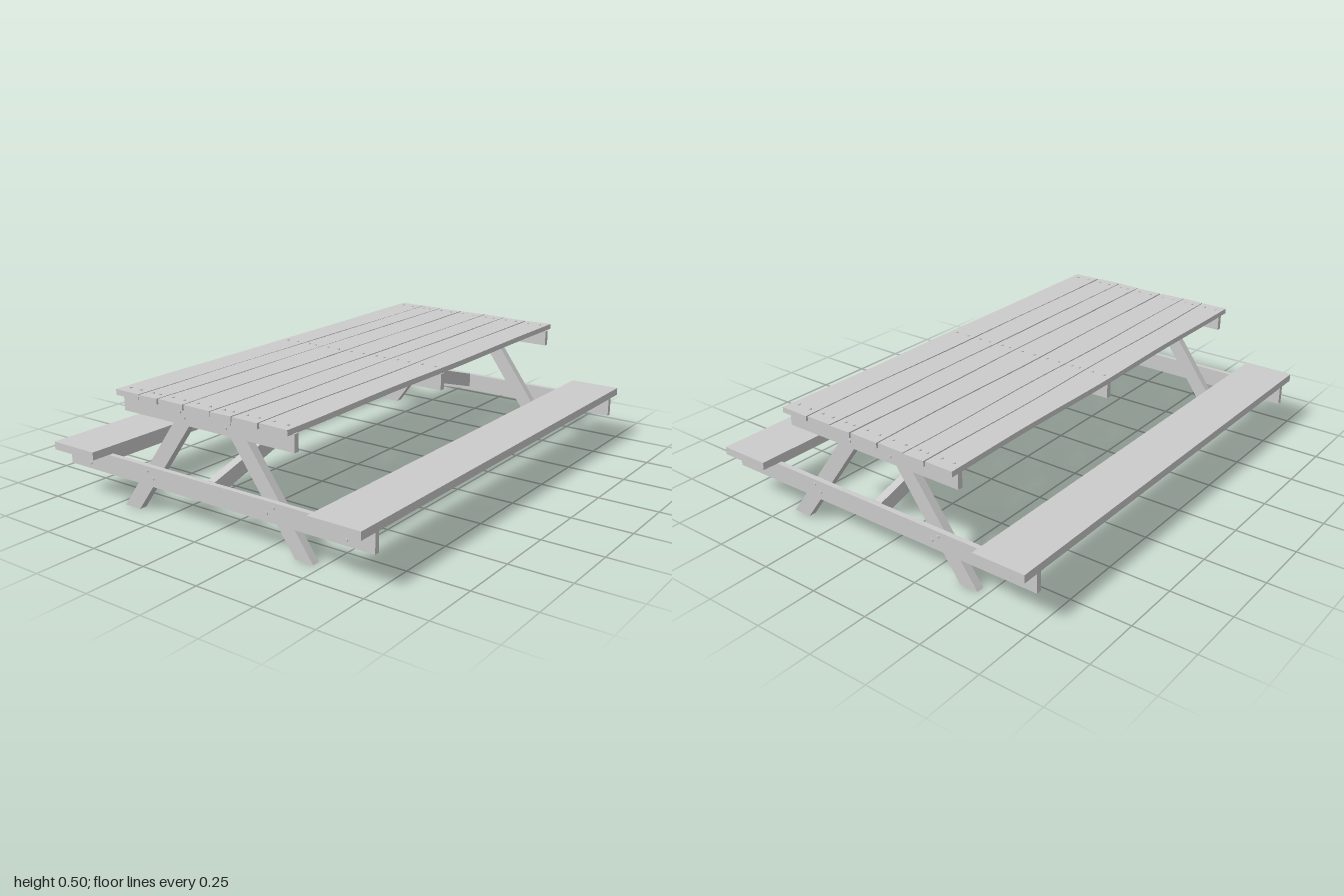
import * as THREE from 'three';

const material = new THREE.MeshStandardMaterial({ color: 0xcccccc });

export function createModel() {
  const model = new THREE.Group();

  function add(name, geometry) {
    const mesh = new THREE.Mesh(geometry, material);
    mesh.name = name;
    model.add(mesh);
    return mesh;
  }

  // Box given by its limits along each axis
  function beam(name, x0, x1, y0, y1, z0, z1) {
    const geometry = new THREE.BoxGeometry(x1 - x0, y1 - y0, z1 - z0);
    geometry.translate((x0 + x1) / 2, (y0 + y1) / 2, (z0 + z1) / 2);
    return add(name, geometry);
  }

  // Flat outline given depth, centred on its own plane
  function slab(points, depth) {
    const shape = new THREE.Shape(points.map(([a, b]) => new THREE.Vector2(a, b)));
    const geometry = new THREE.ExtrudeGeometry(shape, { depth, bevelEnabled: false });
    return geometry.translate(0, 0, -depth / 2);
  }

  // Small round screw head; end = true turns it to face along z
  const screwGeometry = new THREE.CylinderGeometry(0.006, 0.007, 0.006, 8);
  function screw(x, y, z, end = false) {
    const mesh = add('screw', screwGeometry);
    mesh.position.set(x, y, z);
    if (end) mesh.rotation.x = Math.PI / 2 * Math.sign(z);
  }

  // Tabletop planks with slightly wavy long edges
  const planks = [
    [-0.415, -0.3], [-0.295, -0.2], [-0.195, -0.077], [-0.071, 0.05],
    [0.056, 0.157], [0.163, 0.275], [0.281, 0.403],
  ];
  const barZ = [0.91, -0.01, -0.92];
  planks.forEach(([x0, x1], i) => {
    const z0 = -0.97 - 0.003 * Math.sin(i * 2.1);
    const z1 = 0.953 + 0.003 * Math.sin(i * 1.7);
    const geometry = new THREE.BoxGeometry(x1 - x0, 0.022, z1 - z0, 1, 1, 24);
    geometry.translate((x0 + x1) / 2, 0.48, (z0 + z1) / 2);
    const p = geometry.attributes.position;
    for (let k = 0; k < p.count; k++) {
      const z = p.getZ(k);
      const side = p.getX(k) > (x0 + x1) / 2 ? 1 : -1;
      p.setX(k, p.getX(k) + 0.002 * Math.sin(z * 7 + i * 2.3 + side));
      p.setY(k, p.getY(k) + 0.001 * Math.sin(z * 5 + i * 1.9 + side * 1.3));
    }
    geometry.computeVertexNormals();
    add('tabletopPlank', geometry);

    // Two screws into each bar below
    for (const z of barZ) {
      screw(x0 + 0.03, 0.492, z);
      screw(x1 - 0.03, 0.492, z);
    }
  });

  // Bar under the middle of the tabletop
  beam('middleTopBar', -0.41, 0.41, 0.402, 0.469, -0.022, 0.002);

  // End frames: top bar, bench bar, two splayed legs and a long brace
  for (const s of [1, -1]) {
    const inner = s > 0 ? 0.9 : -0.91;
    const outer = inner + s * 0.022;
    const zMin = Math.min(inner, outer);
    const zMax = Math.max(inner, outer);
    beam('endTopBar', -0.41, 0.41, 0.402, 0.469, zMin, zMax);
    beam('benchBar', -0.74, 0.74, 0.122, 0.2, zMin, zMax);

    for (const m of [1, -1]) {
      const outline = [[0.386, 0], [0.465, 0], [0.122, 0.469], [0.043, 0.469]];
      const leg = slab(outline.map(([x, y]) => [x * m, y]), 0.033);
      add('leg', leg.translate(0, 0, inner - s * 0.0165));

      // Screws holding the legs and seat rails to the bars
      for (const [x, y] of [[0.28, 0.155], [0.31, 0.18], [0.1, 0.43], [0.12, 0.45],
        [0.625, 0.145], [0.625, 0.18]]) {
        screw(x * m, y, outer + s * 0.001, true);
      }
    }

    // Sloping brace from the middle bar down to the bench bar
    const brace = slab([
      [-0.01, 0.467], [inner, 0.202], [inner, 0.138], [-0.01, 0.404],
    ], 0.035);
    brace.rotateY(-Math.PI / 2);
    add('brace', brace);
  }

  // Benches with a stiffening rail beneath
  for (const m of [1, -1]) {
    const [a, b] = m > 0 ? [0.52, 0.74] : [-0.74, -0.52];
    beam('benchSeat', a, b, 0.2, 0.232, -1, 1);
    const c = m * 0.622;
    beam('benchRail', c - 0.013, c + 0.013, 0.13, 0.2, -0.91, 0.9);
  }

  return model;
}
